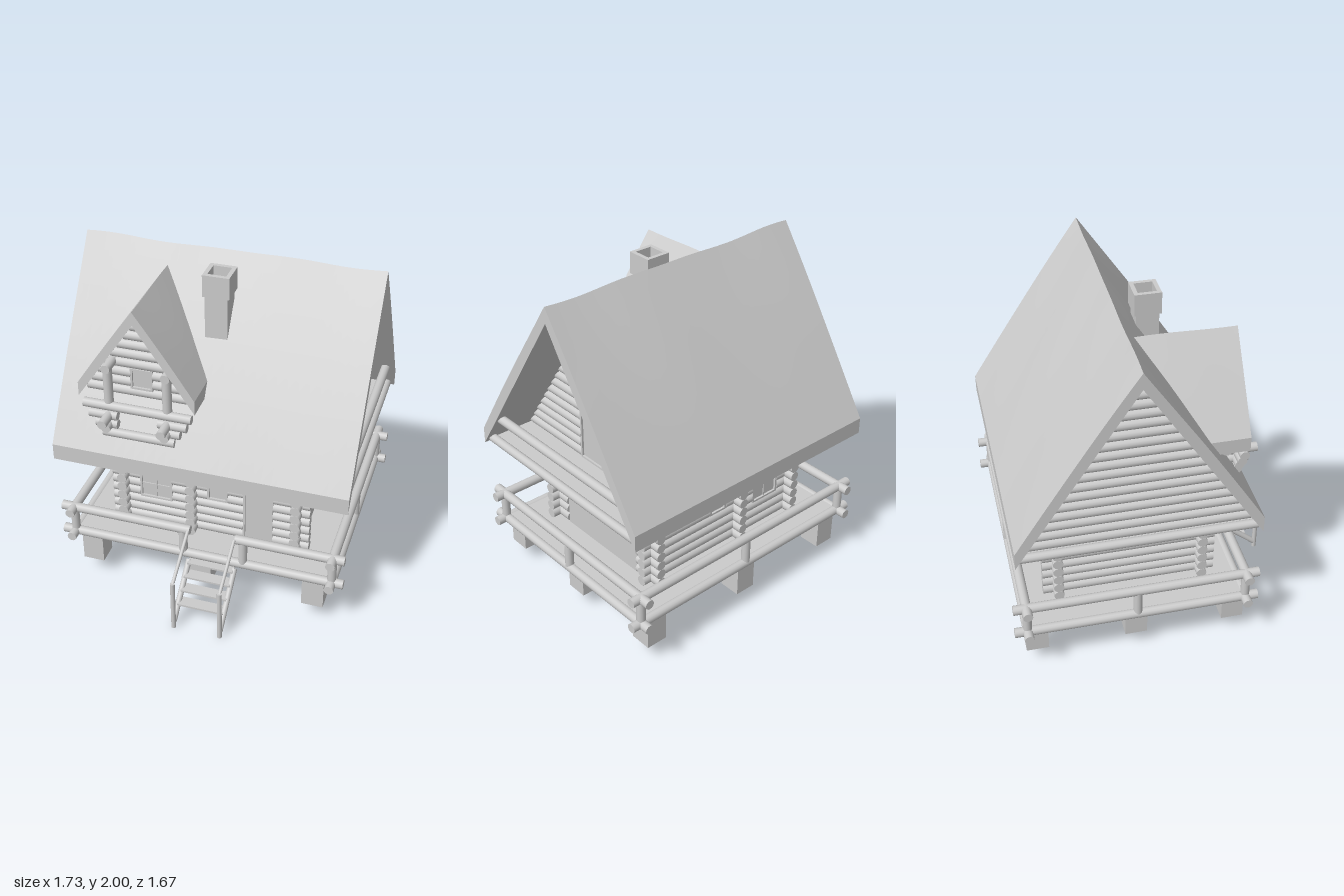
import * as THREE from 'three';
import { toCreasedNormals } from 'three/addons/utils/BufferGeometryUtils.js';

const mat = new THREE.MeshStandardMaterial({ color: 0xcccccc, side: THREE.DoubleSide });
const V = (x, y, z) => new THREE.Vector3(x, y, z);
const UP = V(0, 1, 0);
const ZC = -0.125;              // depth of the main ridge
const SLOPE = 1.518;            // rise per run of the main roof
const R = 0.03;                 // wall log radius
const PITCH = 0.0594;           // height of one log row

function add(parent, name, geometry, x = 0, y = 0, z = 0) {
  const mesh = new THREE.Mesh(geometry, mat);
  mesh.name = name;
  mesh.position.set(x, y, z);
  parent.add(mesh);
  return mesh;
}
const box = (parent, name, w, h, d, x, y, z) =>
  add(parent, name, new THREE.BoxGeometry(w, h, d), x, y, z);

function group(parent, name) {
  const g = new THREE.Group();
  g.name = name;
  parent.add(g);
  return g;
}

// Round log between two points
function log(parent, name, a, b, r = R) {
  const dir = b.clone().sub(a);
  const mesh = add(parent, name, new THREE.CylinderGeometry(r, r, dir.length(), 14));
  mesh.position.copy(a).add(b).multiplyScalar(0.5);
  mesh.quaternion.setFromUnitVectors(UP, dir.normalize());
}

// Stacked logs along x or z; span(y) gives the ends, gaps are [from, to, y0, y1]
function logWall(parent, name, axis, at, y0, rows, span, gaps = []) {
  const g = group(parent, name);
  const point = (u, y) => (axis === 'x' ? V(u, y, at) : V(at, y, u));
  for (let i = 0; i < rows; i++) {
    const y = y0 + i * PITCH;
    let [start, end] = span(y);
    for (const [a, b, lo, hi] of gaps) {
      if (y < lo || y > hi) continue;
      log(g, 'wallLog', point(start, y), point(a, y));
      start = b;
    }
    log(g, 'wallLog', point(start, y), point(end, y));
  }
}

// Flat door or window with a slim frame and optional glazing bars
function panel(parent, name, w, y0, y1, x, z, { turned = false, bars = false, depth = 0.03 } = {}) {
  const g = group(parent, name);
  const h = y1 - y0;
  g.position.set(x, (y0 + y1) / 2, z);
  if (turned) g.rotation.y = Math.PI / 2;
  box(g, 'pane', w, h, depth, 0, 0, 0);
  for (const s of [-1, 1]) {
    box(g, 'frameSide', 0.012, h, depth + 0.025, s * (w / 2 - 0.006), 0, 0);
    box(g, 'frameRail', w, 0.012, depth + 0.025, 0, s * (h / 2 - 0.006), 0);
  }
  if (bars) {
    box(g, 'uprightBar', 0.008, h, depth + 0.012, 0, 0, 0);
    box(g, 'crossBar', w, 0.008, depth + 0.012, 0, 0, 0);
  }
}

// Chevron roof running along +z from 0 to length, apex at y = 0, with a gently uneven skin
function roofGeometry(half, drop, thick, length, wave) {
  const n = 12, pts = [];
  for (let i = -n; i <= n; i++) pts.push(new THREE.Vector2(half * i / n, -drop * Math.abs(i) / n));
  pts.push(new THREE.Vector2(half, -drop - thick), new THREE.Vector2(0, -thick), new THREE.Vector2(-half, -drop - thick));
  const geo = new THREE.ExtrudeGeometry(new THREE.Shape(pts), { depth: length, steps: 28, bevelEnabled: false });
  const p = geo.attributes.position;
  for (let i = 0; i < p.count; i++) {
    const x = p.getX(i), y = p.getY(i), z = p.getZ(i), t = Math.abs(x) / half;
    if (y < -drop * t - thick / 2) continue;
    const ripple = Math.sin(z * 7 + 0.6) * 0.5 + Math.sin(z * 11 + x * 9) * 0.35 - 0.6;
    p.setY(i, y + wave * (ripple * (1 - t) + 1.3 * Math.sin(t * Math.PI)));
  }
  return geo;
}

function buildBase(m) {
  const g = group(m, 'base');
  for (const x of [-0.685, 0, 0.685]) for (const z of [-0.58, 0, 0.58])
    box(g, 'footing', 0.13, 0.18, 0.13, x, 0.2, ZC + z);
  box(g, 'deck', 1.58, 0.045, 1.27, 0, 0.309, ZC);

  // Edge beams and railing
  const r = 0.028, zf = 0.51, zb = -0.76, xe = 0.79;
  for (const y of [0.31, 0.485]) {
    for (const s of [-1, 1]) log(g, 'sideRail', V(s * xe, y, -0.835), V(s * xe, y, 0.585), r);
    log(g, 'backRail', V(-0.865, y, zb), V(0.86, y, zb), r);
  }
  log(g, 'frontBeam', V(-0.865, 0.31, zf), V(0.86, 0.31, zf), r);
  log(g, 'frontRail', V(-0.865, 0.485, zf), V(-0.06, 0.485, zf), r);
  log(g, 'frontRail', V(0.215, 0.485, zf), V(0.86, 0.485, zf), r);
  const posts = [[-0.105, zf], [0.26, zf], [0, zb], [-xe, ZC], [xe, ZC]];
  for (const x of [-xe, xe]) for (const z of [zf, zb]) posts.push([x, z]);
  for (const [x, z] of posts) log(g, 'railPost', V(x, 0.31, z), V(x, 0.485, z), 0.026);
}

function buildStairs(m) {
  const g = group(m, 'stairs');
  for (const x of [-0.065, 0.215]) {
    log(g, 'newelPost', V(x, 0, 0.82), V(x, 0.335, 0.82), 0.014);
    log(g, 'stringer', V(x, 0.04, 0.815), V(x, 0.275, 0.53), 0.017);
    log(g, 'handrail', V(x, 0.325, 0.82), V(x, 0.5, 0.54), 0.01);
  }
  for (let i = 0; i < 4; i++)
    box(g, 'tread', 0.28, 0.012, 0.07, 0.075, 0.115 + i * 0.053, 0.72 - i * 0.062);
}

function buildHouse(m) {
  const g = group(m, 'house');
  const y0 = 0.365, rows = 9, zf = 0.3, zb = -0.545;
  const xs = () => [-0.61, 0.605], zs = () => [-0.63, 0.385];
  const windows = [[-0.435, -0.235, 0.515, 0.71], [-0.015, 0.11, 0.585, 0.71]];
  const door = [0.205, 0.385, 0.33, 0.71];
  logWall(g, 'frontWall', 'x', zf, y0, rows, xs, [...windows, door]);
  logWall(g, 'backWall', 'x', zb, y0, rows, xs, windows);
  logWall(g, 'rightWall', 'z', -0.53, y0, rows, zs);
  logWall(g, 'innerWall', 'z', -0.105, y0, rows, zs);
  logWall(g, 'leftWall', 'z', 0.53, y0, rows, zs, [[-0.44, 0.195, 0, 1]]);
  box(g, 'gardenDoor', 0.03, 0.53, 0.64, 0.53, 0.595, -0.122);
  for (const z of [zf, zb])
    for (const [a, b, lo, hi] of windows)
      panel(g, 'window', b - a, lo, hi, (a + b) / 2, z, { bars: b - a > 0.15 });
  panel(g, 'frontDoor', 0.18, 0.33, 0.71, 0.295, zf);
}

function buildAttic(m) {
  const g = group(m, 'attic');
  box(g, 'atticFloor', 1.64, 0.025, 1.35, 0, 0.873, ZC);
  const span = (y) => { const h = (1.92 - y) / SLOPE; return [ZC - h, ZC + h]; };
  logWall(g, 'leftGable', 'z', 0.53, 0.915, 16, span, [[-0.275, 0.035, 0.88, 1.3]]);
  panel(g, 'balconyDoor', 0.31, 0.89, 1.3, 0.53, -0.12, { turned: true });
  logWall(g, 'rightGable', 'z', -0.76, 0.915, 16, span);
  for (const x of [-0.82, 0.82]) log(g, 'gableBeam', V(x, 0.886, -0.79), V(x, 0.886, 0.54), 0.026);
  log(g, 'balconyRail', V(0.82, 1.06, ZC - 0.56), V(0.82, 1.06, ZC + 0.56), 0.027);

  const roof = add(g, 'mainRoof', toCreasedNormals(roofGeometry(0.685, 1.04, 0.1, 1.733, 0.01), 0.5), -0.868, 2, ZC);
  roof.rotation.y = Math.PI / 2;

  // Chimney with a hollow cap
  box(g, 'chimney', 0.13, 0.36, 0.13, -0.01, 1.665, 0.09);
  const square = (s) => [[-s, -s], [s, -s], [s, s], [-s, s]].map((c) => new THREE.Vector2(...c));
  const ring = new THREE.Shape(square(0.077));
  ring.holes.push(new THREE.Path(square(0.053)));
  const cap = add(g, 'chimneyCap', new THREE.ExtrudeGeometry(ring, { depth: 0.13, bevelEnabled: false }), -0.008, 1.84, 0.09);
  cap.rotation.x = -Math.PI / 2;
}

function buildDormer(m) {
  const g = group(m, 'dormer');
  const xc = -0.36, top = 1.885, front = 0.51, len = 0.56;

  // Roof whose rear end is trimmed to the slope of the main roof
  const geo = roofGeometry(0.34, 0.5, 0.085, len, 0.005);
  const p = geo.attributes.position;
  for (let i = 0; i < p.count; i++) {
    const back = ZC + (2 - top - p.getY(i)) / SLOPE - 0.02;
    p.setZ(i, THREE.MathUtils.lerp(back, front, p.getZ(i) / len));
  }
  add(g, 'dormerRoof', toCreasedNormals(geo, 0.5), xc, top, 0);

  // Log gable and window
  const span = (y) => { const h = Math.min(0.33, (1.81 - y) / 1.47); return [xc - h, xc + h]; };
  logWall(g, 'dormerGable', 'x', 0.385, 1.31, 8, span, [[-0.425, -0.3, 1.34, 1.46]]);
  panel(g, 'dormerWindow', 0.13, 1.335, 1.465, -0.362, 0.385);

  // Balcony: stacked brackets, posts and beams
  const zp = 0.49, r = 0.027;
  log(g, 'balconyBeam', V(-0.68, 1.25, zp), V(-0.045, 1.25, zp), r);
  log(g, 'lowerBeam', V(-0.57, 1.075, zp), V(-0.145, 1.075, zp), r);
  for (const s of [-1, 1]) {
    const x = xc + s * 0.172;
    log(g, 'upperStub', V(xc + s * 0.12, 1.19, zp), V(xc + s * 0.288, 1.19, zp), r);
    log(g, 'lowerStub', V(xc + s * 0.12, 1.135, zp), V(xc + s * 0.248, 1.135, zp), r);
    log(g, 'upperBracket', V(x, 1.19, 0.35), V(x, 1.19, 0.605), r);
    log(g, 'lowerBracket', V(x, 1.135, 0.38), V(x, 1.135, 0.555), r);
    log(g, 'balconyPost', V(x, 1.26, zp - 0.01), V(x, 1.5, zp - 0.01), r);
    log(g, 'tieLog', V(x, 1.495, 0.3), V(x, 1.495, 0.51), r);
  }
}

export function createModel() {
  const model = new THREE.Group();
  model.name = 'logCabin';
  for (const build of [buildBase, buildStairs, buildHouse, buildAttic, buildDormer]) build(model);
  return model;
}
